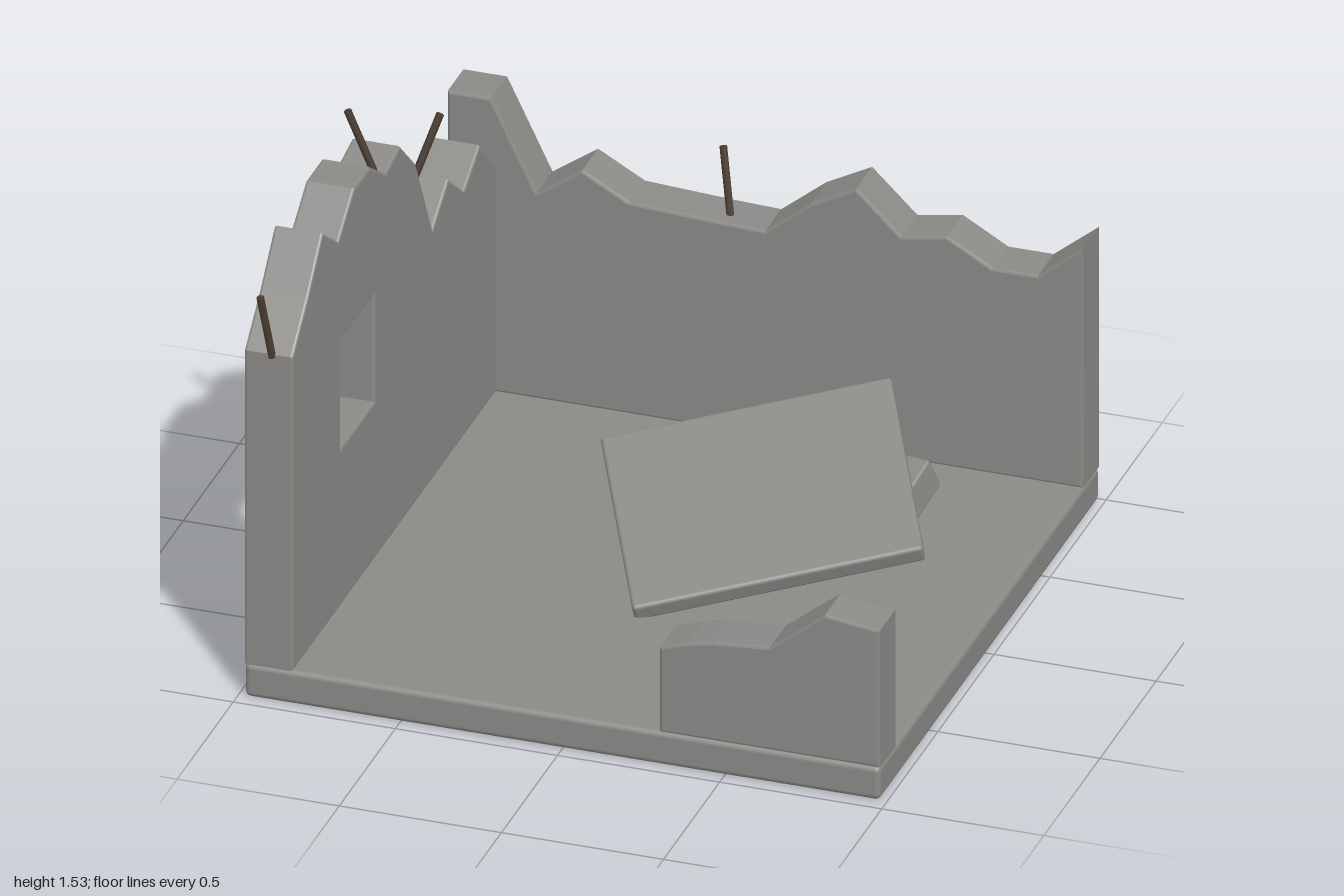
import * as THREE from 'three';
import { RoundedBoxGeometry } from 'three/addons/geometries/RoundedBoxGeometry.js';

const FLOOR = 0.11, THICK = 0.15, BEVEL = 0.008;

// Broken wall: jagged top profile [u, y], flat foot on the floor, softened edges
function wallGeometry(top, hole) {
  const shape = new THREE.Shape();
  shape.moveTo(top[0][0], FLOOR);
  shape.lineTo(top[top.length - 1][0], FLOOR);
  for (const [u, y] of [...top].reverse()) shape.lineTo(u, y);
  shape.closePath();
  if (hole) {
    const [u0, u1, y0, y1] = hole;
    shape.holes.push(new THREE.Path([[u0, y0], [u0, y1], [u1, y1], [u1, y0]].map(p => new THREE.Vector2(...p))));
  }
  const g = new THREE.ExtrudeGeometry(shape, {
    depth: THICK - 2 * BEVEL, bevelEnabled: true, bevelThickness: BEVEL,
    bevelSize: BEVEL, bevelOffset: -BEVEL, bevelSegments: 2,
  });
  return g.translate(0, 0, BEVEL);
}

export function createModel() {
  const model = new THREE.Group();
  model.name = 'ruinedRoom';
  const concrete = new THREE.MeshStandardMaterial({ color: 0x8b8a87 });
  concrete.name = 'concrete';
  const rust = new THREE.MeshStandardMaterial({ color: 0x4a3d32 });
  rust.name = 'rustyIron';

  const add = (name, geometry, material = concrete) => {
    const mesh = new THREE.Mesh(geometry, material);
    mesh.name = name;
    model.add(mesh);
    return mesh;
  };

  // Floor
  add('floorSlab', new RoundedBoxGeometry(1.96, FLOOR, 1.96, 2, 0.018)).position.set(0, FLOOR / 2, -0.02);

  // Back wall
  add('backWall', wallGeometry([
    [-0.98, 1.08], [-0.845, 1.08], [-0.705, 0.79], [-0.565, 0.89], [-0.42, 0.81], [-0.14, 0.795],
    [0, 0.79], [0.14, 0.905], [0.28, 0.98], [0.42, 0.845], [0.56, 0.87], [0.7, 0.79], [0.84, 0.79], [0.98, 0.905],
  ])).position.z = -1;

  // Side wall with window; the profile runs along -z
  const side = add('windowWall', wallGeometry([
    [-0.96, 1.15], [-0.82, 1.28], [-0.69, 1.425], [-0.55, 1.325], [-0.41, 1.43], [-0.27, 1.43], [-0.13, 1.335],
    [0, 1.36], [0.14, 1.23], [0.29, 0.935], [0.43, 1.03], [0.57, 0.92], [0.71, 1.0], [0.855, 0.86],
  ], [-0.53, -0.23, 0.63, 0.99]));
  side.rotation.y = Math.PI / 2;
  side.position.x = -0.98;

  // Low remnant of the front wall
  add('frontWallRemnant', wallGeometry([
    [0.3, 0.39], [0.39, 0.42], [0.47, 0.435], [0.64, 0.45], [0.81, 0.587], [0.98, 0.565],
  ])).position.z = 0.81;

  // Fallen slab, defined by one top corner and its two top edges
  const corner = new THREE.Vector3(0.005, 0.15, 0.34);
  const along = new THREE.Vector3(0.78, 0.165, -0.34);
  const up = new THREE.Vector3(-0.3, 0.23, -0.56);
  const t = 0.06;
  const slab = add('fallenSlab', new RoundedBoxGeometry(along.length(), t, up.length(), 2, 0.012));
  const ax = along.clone().normalize();
  const ay = along.clone().cross(up).normalize();
  const az = ax.clone().cross(ay);
  slab.quaternion.setFromRotationMatrix(new THREE.Matrix4().makeBasis(ax, ay, az));
  slab.position.copy(corner).addScaledVector(along, 0.5).addScaledVector(up, 0.5).addScaledVector(ay, -t / 2);

  // Rubble: position, size, rotation
  [
    [[0.23, 0.31, -0.51], [0.18, 0.13, 0.15], [0.5, 0.25, 0.1]],
    [[0.59, 0.29, -0.38], [0.14, 0.11, 0.15], [0.45, -0.2, 0.2]],
    [[0.12, 0.25, -0.42], [0.12, 0.09, 0.09], [0.2, 0.7, 0.1]],
    [[0.42, 0.24, -0.29], [0.11, 0.07, 0.11], [0.1, 0.4, 0.2]],
    [[0.45, 0.28, -0.19], [0.08, 0.06, 0.08], [0.5, 0.6, 0.1]],
    [[0.5, 0.225, -0.14], [0.06, 0.04, 0.05], [0.3, 0.2, 0.2]],
    [[0.4, 0.23, -0.23], [0.05, 0.05, 0.04], [0.2, 0.9, 0.4]],
    [[0.33, 0.2, -0.84], [0.08, 0.05, 0.07], [0.1, 0.6, 0.2]],
  ].forEach(([p, s, r], i) => {
    const chunk = add('rubble' + (i + 1), new RoundedBoxGeometry(...s, 1, 0.008));
    chunk.position.set(...p);
    chunk.rotation.set(...r);
  });

  // Bent reinforcing bars: foot, tip
  [
    [[-0.87, 1.33, 0.12], [-0.945, 1.53, 0.14]],
    [[-0.895, 1.14, 0.955], [-0.92, 1.35, 0.99]],
    [[-0.94, 0.99, -0.39], [-0.87, 1.22, -0.47]],
    [[-0.125, 0.78, -0.905], [-0.165, 0.99, -0.955]],
  ].forEach(([a, b], i) => {
    const foot = new THREE.Vector3(...a), dir = new THREE.Vector3(...b).sub(foot);
    const bar = add('reinforcingBar' + (i + 1), new THREE.CylinderGeometry(0.012, 0.012, dir.length(), 8), rust);
    bar.position.copy(foot).addScaledVector(dir, 0.5);
    bar.quaternion.setFromUnitVectors(new THREE.Vector3(0, 1, 0), dir.normalize());
  });

  return model;
}
